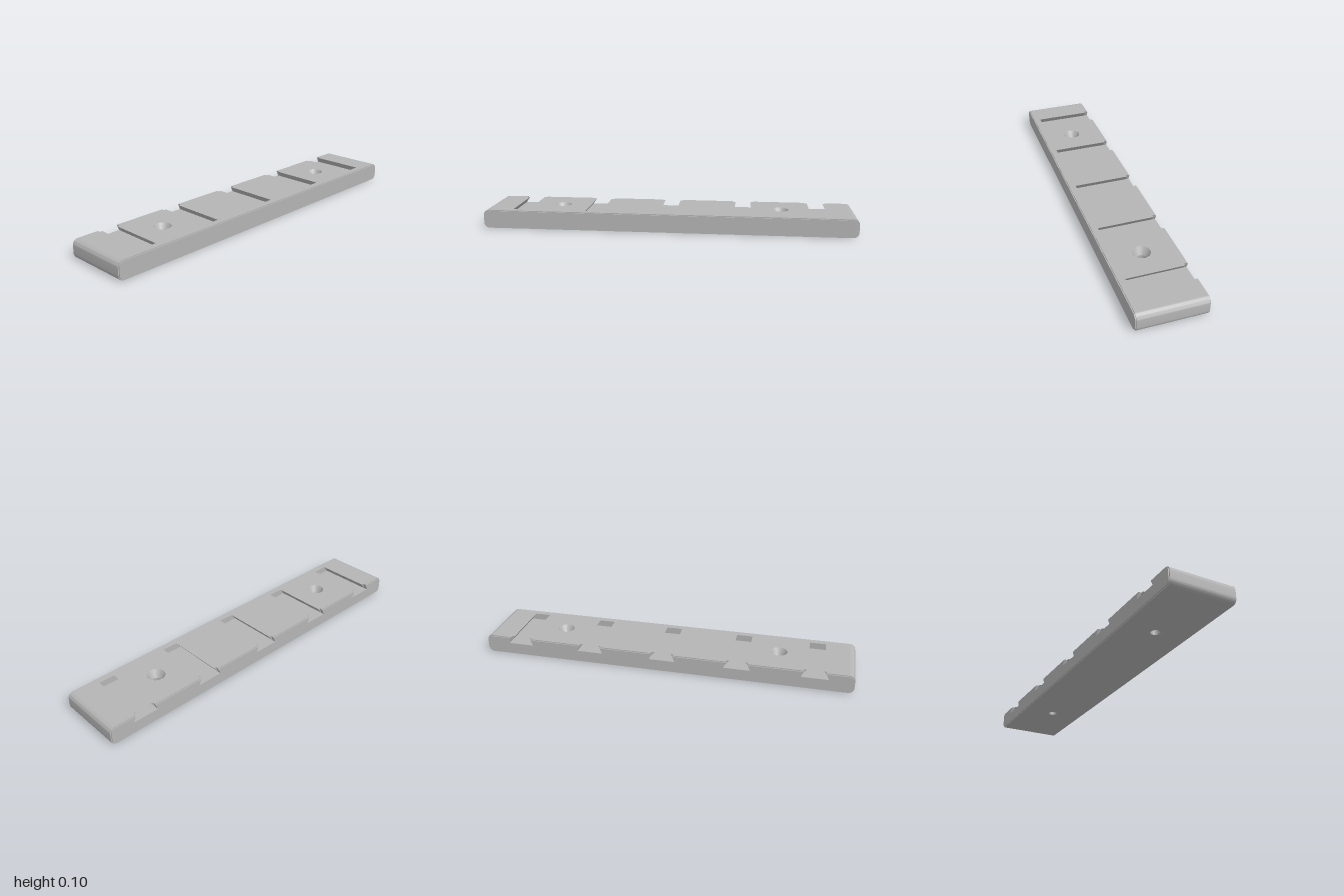
import * as THREE from 'three';
import { toCreasedNormals } from 'three/addons/utils/BufferGeometryUtils.js';

const H = 0.1, R = 0.03;               // bar height and end rounding
const BODY_Z = 0.175, STEP = 0.005;    // body half depth and raised face step
const FLOOR_Y = 0.065, FLOOR_W = 0.07; // dovetail floor height and half width
const SLOT_W = 0.043, MOUTH_W = 0.057; // half widths of slot and of its mouth at the top
const SLOT_END = 0.14, MOUTH_END = -0.16;
const SLOTS = [-0.8, -0.4, 0, 0.4, 0.8], HOLES = [-0.6, 0.6];
const SINK_R = 0.046, BORE_R = 0.024, SINK_Y = 0.06;

// Rounded profile in x/y, inset by d, optionally notched with the dovetails
function profile(d, notched) {
  const x = 1 - d, lo = d, hi = H - d, r = R - d;
  const s = new THREE.Shape();
  s.moveTo(-x + r, lo);
  s.lineTo(x - r, lo);
  s.absarc(x - r, lo + r, r, -Math.PI / 2, 0);
  s.absarc(x - r, hi - r, r, 0, Math.PI / 2);
  if (notched) {
    for (const c of [...SLOTS].reverse()) {
      s.lineTo(c + MOUTH_W, hi);
      s.lineTo(c + FLOOR_W, FLOOR_Y);
      s.lineTo(c - FLOOR_W, FLOOR_Y);
      s.lineTo(c - MOUTH_W, hi);
    }
  }
  s.lineTo(-x + r, hi);
  s.absarc(-x + r, hi - r, r, Math.PI / 2, Math.PI);
  s.absarc(-x + r, lo + r, r, Math.PI, Math.PI * 1.5);
  return s;
}

// Sheet swept along z from an open x/y section
function sweep(points, z0, z1) {
  const pos = [], index = [];
  points.forEach(([x, y], i) => {
    pos.push(x, y, z0, x, y, z1);
    if (i) {
      const a = 2 * i - 2;
      index.push(a, a + 1, a + 2, a + 2, a + 1, a + 3);
    }
  });
  const g = new THREE.BufferGeometry();
  g.setAttribute('position', new THREE.Float32BufferAttribute(pos, 3));
  g.setIndex(index);
  g.computeVertexNormals();
  return toCreasedNormals(g, 0.6);
}

const polygon = (pts) => new THREE.Shape(pts.map(([x, y]) => new THREE.Vector2(x, y)));

function addHoles(shape, radius) {
  for (const x of HOLES) shape.holes.push(new THREE.Path().absarc(x, 0, radius, 0, Math.PI * 2, true));
  return shape;
}

export function createModel() {
  const grey = new THREE.MeshStandardMaterial({ color: 0xb4b4b4, side: THREE.DoubleSide });
  grey.name = 'grey';
  const model = new THREE.Group();
  model.name = 'slottedBar';
  const add = (name, geometry, parent = model) => {
    const m = new THREE.Mesh(geometry, grey);
    m.name = name;
    parent.add(m);
    return m;
  };

  // Top with slot cut-outs open to the back, and countersunk holes
  const e = 1 - R;
  const outline = [[-e, -BODY_Z], [e, -BODY_Z], [e, BODY_Z]];
  for (const c of [...SLOTS].reverse()) {
    outline.push([c + MOUTH_W, BODY_Z], [c + MOUTH_W, -MOUTH_END], [c + SLOT_W, -MOUTH_END],
      [c + SLOT_W, -SLOT_END], [c - SLOT_W, -SLOT_END], [c - SLOT_W, -MOUTH_END],
      [c - MOUTH_W, -MOUTH_END], [c - MOUTH_W, BODY_Z]);
  }
  outline.push([-e, BODY_Z]);
  const top = new THREE.ShapeGeometry(addHoles(polygon(outline), SINK_R), 32);
  add('top', top.rotateX(-Math.PI / 2).translate(0, H, 0));

  // Underside with the screw bores
  const base = polygon([[-e, -BODY_Z], [e, -BODY_Z], [e, BODY_Z], [-e, BODY_Z]]);
  add('underside', new THREE.ShapeGeometry(addHoles(base, BORE_R), 32).rotateX(Math.PI / 2));

  // Rounded ends
  for (const side of [1, -1]) {
    const pts = [];
    for (let i = 0; i <= 20; i++) {
      const upper = i > 10;
      const a = -Math.PI / 2 + (upper ? i - 1 : i) / 19 * Math.PI;
      const t = upper ? (i - 11) / 9 * Math.PI / 2 : (i / 10 - 1) * Math.PI / 2;
      pts.push([e + R * Math.cos(t), (upper ? H - R : R) + R * Math.sin(t)]);
    }
    const end = add(side > 0 ? 'leftEnd' : 'rightEnd', sweep(pts, BODY_Z, -BODY_Z));
    if (side < 0) end.rotation.y = Math.PI;
  }

  // Front and back: body edge, then the slightly smaller raised face
  const front = new THREE.Group(), back = new THREE.Group();
  front.name = 'front';
  back.name = 'back';
  model.add(front, back);
  const raised = (notched) => new THREE.ExtrudeGeometry(profile(STEP, notched),
    { depth: STEP, bevelEnabled: false, curveSegments: 10 });
  add('frontEdge', new THREE.ShapeGeometry(profile(0, false), 10).translate(0, 0, BODY_Z), front);
  add('frontFace', raised(false).translate(0, 0, BODY_Z), front);
  const backEdge = new THREE.ShapeGeometry(profile(0, true), 10).rotateY(Math.PI);
  add('backEdge', backEdge.translate(0, 0, -BODY_Z), back);
  add('backFace', raised(true).translate(0, 0, -BODY_Z - STEP), back);

  // Dovetail slots
  for (const c of SLOTS) {
    const slot = new THREE.Group();
    slot.name = 'dovetailSlot';
    slot.position.x = c;
    model.add(slot);
    const section = (w) => [[-w, H], [-FLOOR_W, FLOOR_Y], [FLOOR_W, FLOOR_Y], [w, H]];
    add('slotWalls', sweep(section(SLOT_W), MOUTH_END, SLOT_END), slot);
    add('slotMouth', sweep(section(MOUTH_W), -BODY_Z, MOUTH_END), slot);
    const endWall = new THREE.ShapeGeometry(polygon(section(SLOT_W))).rotateY(Math.PI);
    add('slotEndWall', endWall.translate(0, 0, SLOT_END), slot);
    for (const s of [1, -1]) {
      const lip = polygon([[s * SLOT_W, H], [s * MOUTH_W, H], [s * FLOOR_W, FLOOR_Y]]);
      add('slotLip', new THREE.ShapeGeometry(lip).rotateY(Math.PI).translate(0, 0, MOUTH_END), slot);
    }
  }

  // Countersunk screw holes
  const bore = [[BORE_R, 0], [BORE_R, SINK_Y], [SINK_R, H]].map(([r, y]) => new THREE.Vector2(r, y));
  for (const x of HOLES) {
    add('screwHole', toCreasedNormals(new THREE.LatheGeometry(bore, 32), 0.3)).position.x = x;
  }
  return model;
}
